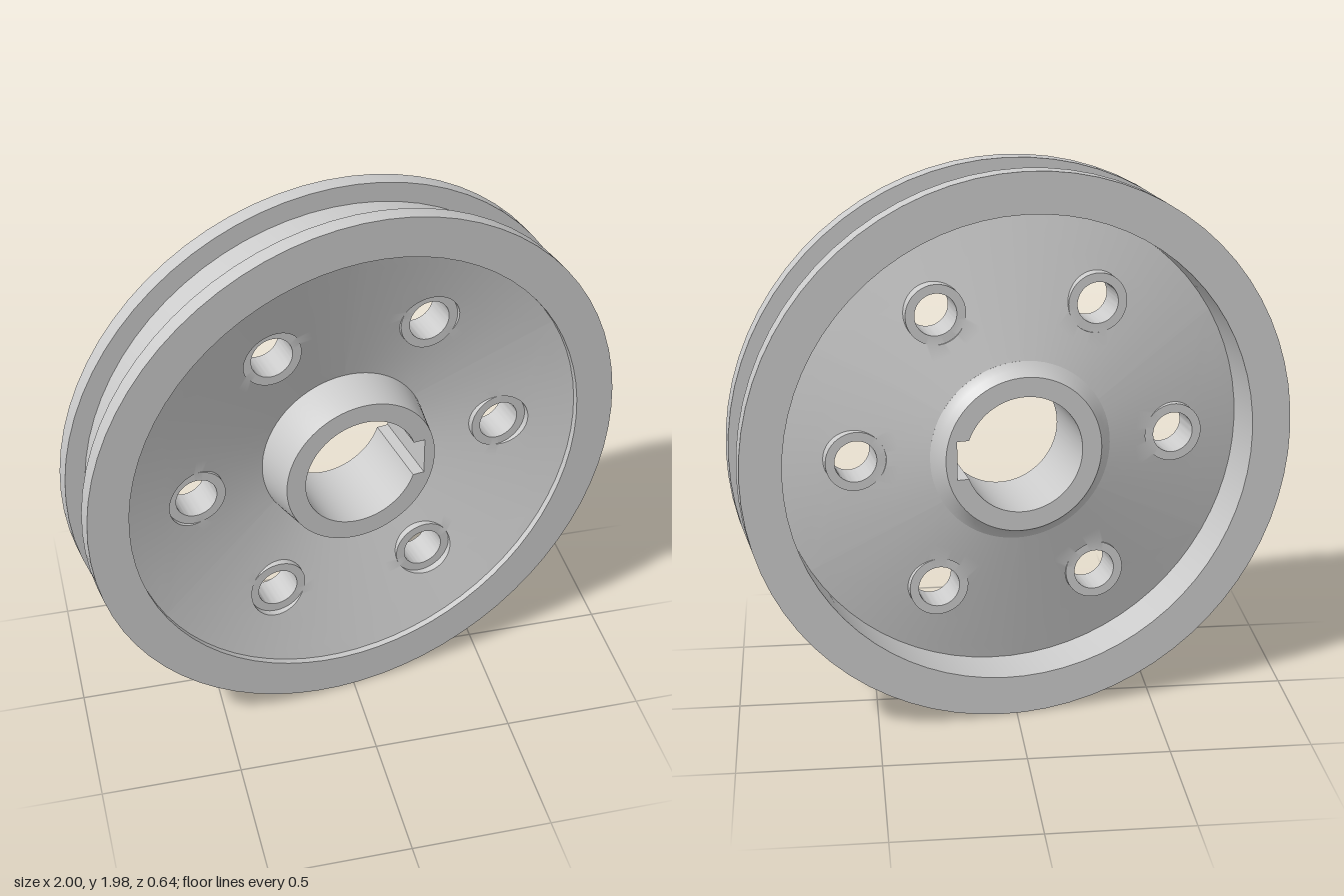
import * as THREE from 'three';
import { toCreasedNormals } from 'three/addons/utils/BufferGeometryUtils.js';

const material = new THREE.MeshStandardMaterial({ color: 0xcccccc });
const HALF = 0.155;         // half the wheel thickness
const RIM_IN = 0.845;       // inner radius of the rim
const HUB_IN = 0.3;         // where the web meets the hub
const BOLT_R = 0.576;       // bolt circle radius
const HOLE = 0.074, BOSS = 0.106, BOSS_H = 0.065;

function add(parent, name, geometry) {
  const mesh = new THREE.Mesh(toCreasedNormals(geometry, 0.5), material);
  mesh.name = name;
  parent.add(mesh);
  return mesh;
}

// Turned profile of [radius, depth] points, with its axis along z
function turned(points, segments = 72) {
  const profile = points.map(([r, z]) => new THREE.Vector2(r, z));
  return new THREE.LatheGeometry(profile, segments).rotateX(Math.PI / 2);
}

// Dished web: its front and back follow the same cone
const frontZ = (r) => (r - 0.31) * 0.245;
const backZ = (r) => frontZ(r) - 0.11;

// One sixth of the web, with a bolt hole and flat round seat on both sides
function webSector() {
  const cols = 64, steps = [0, 0.25, 0.5, 0.75, 1];
  const rows = [
    ...steps.slice().reverse().map((t) => ({ t, surface: backZ })),
    { radius: BOSS, z: -BOSS_H }, { radius: HOLE, z: -BOSS_H },
    { radius: HOLE, z: BOSS_H }, { radius: BOSS, z: BOSS_H },
    ...steps.map((t) => ({ t, surface: frontZ })),
  ];
  const mid = (RIM_IN + HUB_IN) / 2, half = (RIM_IN - HUB_IN) / 2;
  const positions = [], index = [];
  rows.forEach((row, i) => {
    for (let j = 0; j <= cols; j++) {
      const a = (j / cols) * Math.PI * 2, c = Math.cos(a), s = Math.sin(a);
      const radius = row.radius ?? BOSS;
      let x = BOLT_R + radius * c, y = radius * s, z = row.z;
      if (row.surface) {
        // blend from the seat circle to the sector outline
        const m = Math.max(Math.abs(c), Math.abs(s));
        const r = mid + (half * c) / m, angle = ((s / m) * Math.PI) / 6;
        x += (r * Math.cos(angle) - x) * row.t;
        y += (r * Math.sin(angle) - y) * row.t;
        z = row.surface(Math.hypot(x, y));
      }
      positions.push(x, y, z);
      if (i < rows.length - 1 && j < cols) {
        const p = i * (cols + 1) + j, q = p + cols + 1;
        index.push(p, q, q + 1, p, q + 1, p + 1);
      }
    }
  });
  const geometry = new THREE.BufferGeometry();
  geometry.setAttribute('position', new THREE.Float32BufferAttribute(positions, 3));
  geometry.setIndex(index);
  geometry.computeVertexNormals();
  return geometry;
}

// Hub core with a keyed bore
function hubCore() {
  const shape = new THREE.Shape().absarc(0, 0, 0.28, 0, Math.PI * 2);
  const bore = 0.21, key = 0.07, a = Math.asin(key / bore);
  const hole = new THREE.Path();
  hole.absarc(0, 0, bore, a, Math.PI * 2 - a, false);
  hole.lineTo(0.24, -key);
  hole.lineTo(0.24, key);
  hole.closePath();
  shape.holes.push(hole);
  return new THREE.ExtrudeGeometry(shape, { depth: HALF * 2, bevelEnabled: false, curveSegments: 48 })
    .translate(0, 0, -HALF);
}

export function createModel() {
  const model = new THREE.Group();
  const wheel = new THREE.Group();
  wheel.name = 'wheel';
  wheel.position.y = 0.99;
  wheel.rotation.y = THREE.MathUtils.degToRad(9.8);
  model.add(wheel);

  // Rim with two flanges and a square groove
  add(wheel, 'rim', turned([
    [RIM_IN, -HALF], [0.99, -HALF], [0.99, -0.093], [0.92, -0.093],
    [0.92, 0.093], [0.99, 0.093], [0.99, HALF], [RIM_IN, HALF], [RIM_IN, -HALF],
  ]));

  // Web sectors around the hub
  const sector = webSector();
  for (let i = 0; i < 6; i++) {
    add(wheel, 'webSector', sector).rotation.z = (i * Math.PI) / 3;
  }

  // Hub and its tapered collar
  add(wheel, 'hub', hubCore());
  add(wheel, 'hubCollar', turned([
    [0.28, -HALF], [0.3, -0.125], [0.325, -0.108], [0.31, -0.05], [0.31, 0.003], [0.28, HALF],
  ]));
  return model;
}
